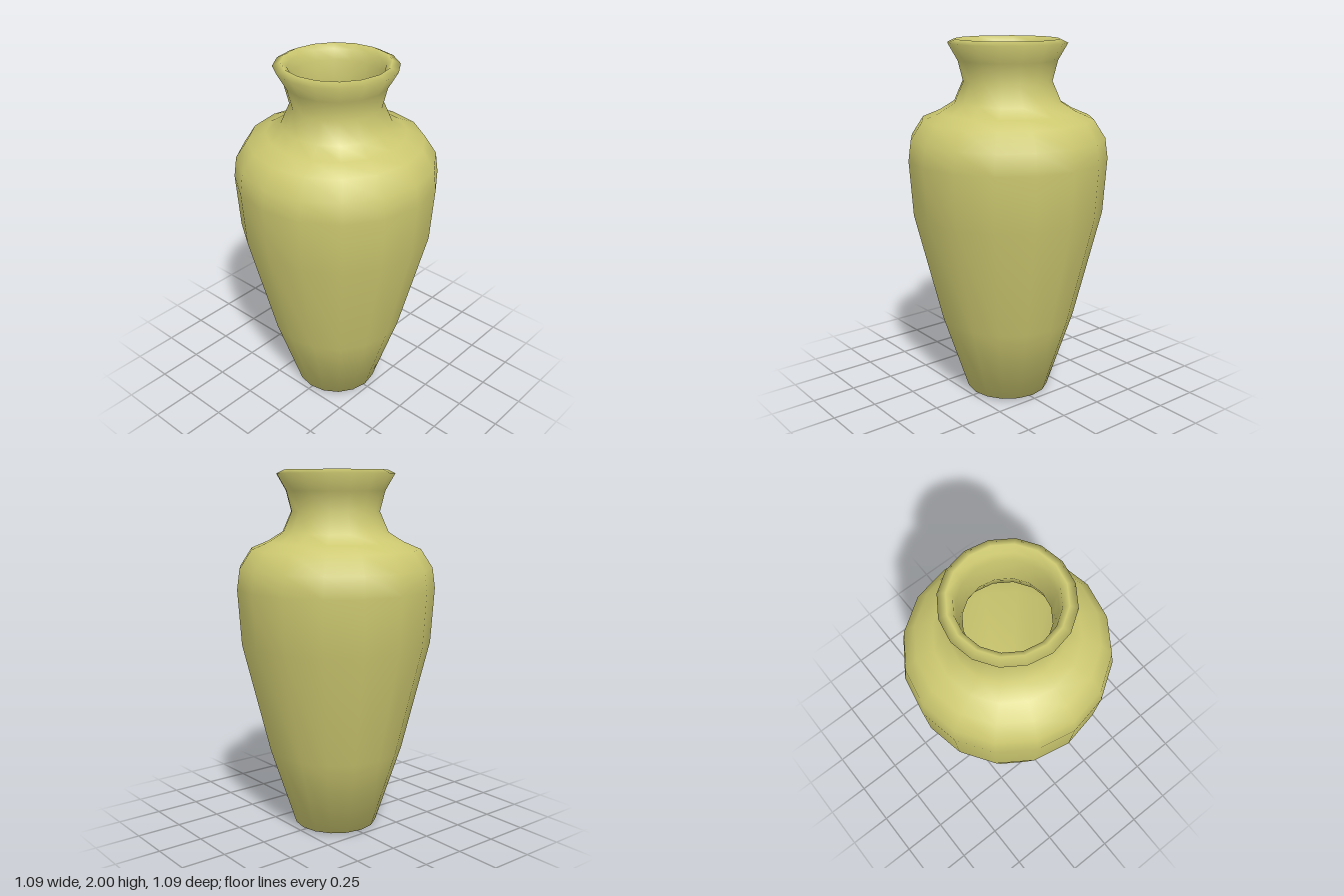
import * as THREE from 'three';

const SIDES = 16;

// Turns a list of [radius, height] pairs into a smooth lathed mesh
function turned(name, profile, material) {
  const points = profile.map(([r, y]) => new THREE.Vector2(r, y));
  const mesh = new THREE.Mesh(new THREE.LatheGeometry(points, SIDES), material);
  mesh.name = name;
  return mesh;
}

export function createModel() {
  const glaze = new THREE.MeshStandardMaterial({ color: 0xccc870 });
  glaze.name = 'olive glaze';

  const profile = [
    // base
    [0, 0.005], [0.232, 0.02],
    // body
    [0.375, 0.46], [0.525, 1.07], [0.545, 1.37], [0.53, 1.48],
    // shoulder
    [0.465, 1.58], [0.37, 1.62], [0.29, 1.67],
    // neck
    [0.242, 1.78], [0.27, 1.89],
    // rolled lip
    [0.322, 1.98], [0.28, 2.0], [0.25, 1.975], [0.24, 1.92],
    // inside wall and floor
    [0.215, 1.78], [0.26, 1.65], [0.44, 1.55], [0.51, 1.37],
    [0.49, 1.07], [0.34, 0.46], [0.21, 0.06], [0, 0.05],
  ];

  const group = new THREE.Group();
  group.name = 'vase';
  group.add(turned('vaseBody', profile, glaze));
  return group;
}
